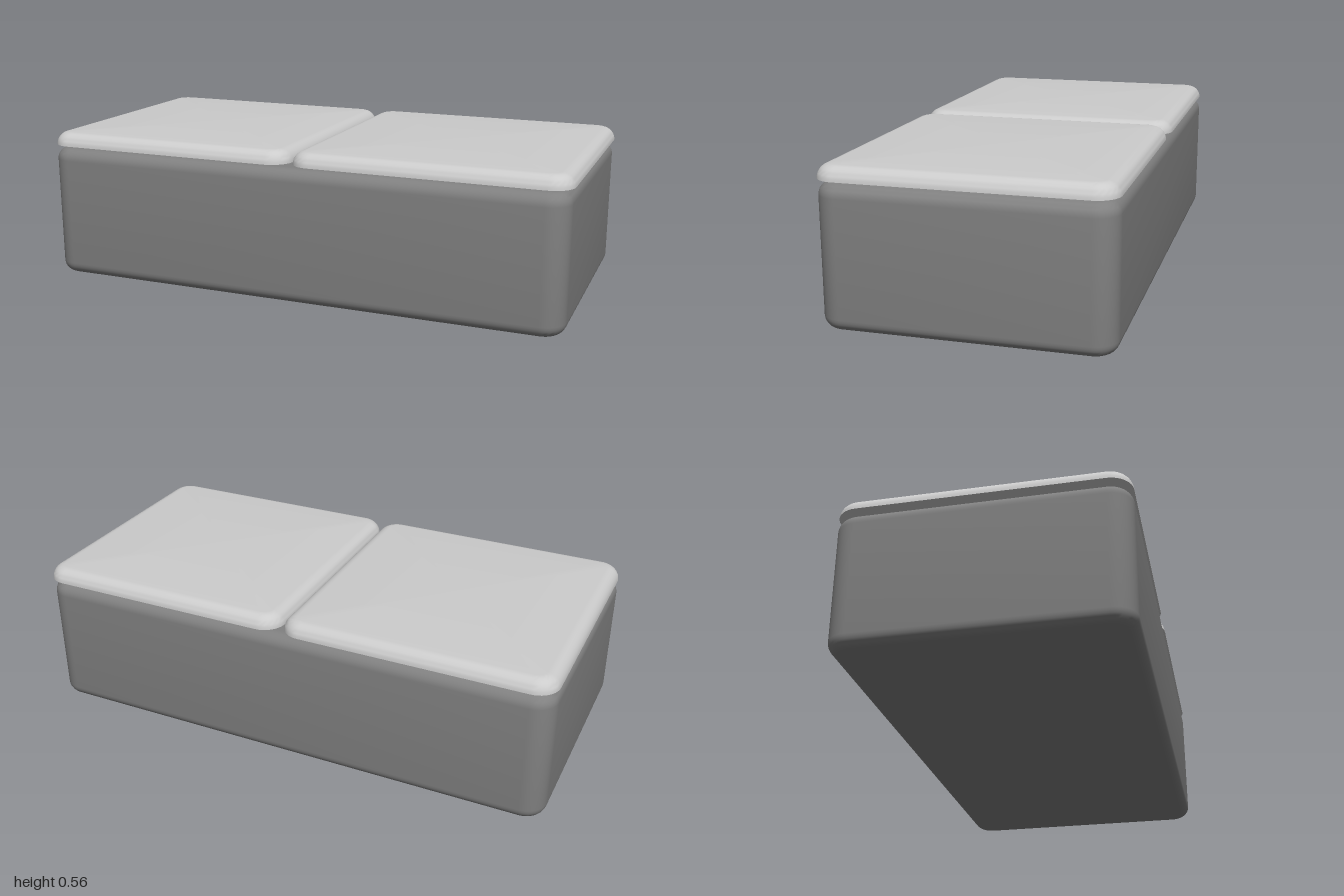
import * as THREE from 'three';
import { toCreasedNormals } from 'three/addons/utils/BufferGeometryUtils.js';

const ARC = 10; // segments per rounded corner

// Outline of a rounded rectangle in the xz plane, as [x, z] pairs
function outline(w, d, r) {
  const points = [];
  for (let corner = 0; corner < 4; corner++) {
    const sx = corner === 0 || corner === 3 ? 1 : -1;
    const sz = corner < 2 ? 1 : -1;
    for (let i = 0; i <= ARC; i++) {
      const a = (corner + i / ARC) * Math.PI / 2;
      points.push([sx * (w / 2 - r) + r * Math.cos(a), sz * (d / 2 - r) + r * Math.sin(a)]);
    }
  }
  return points;
}

// Solid slab lofted through a profile of [inset, y] steps, bottom to top
function slab(w, d, r, profile) {
  const pos = [], index = [];
  const n = 4 * (ARC + 1);
  for (const [inset, y] of profile) {
    for (const [x, z] of outline(w - 2 * inset, d - 2 * inset, r - inset)) pos.push(x, y, z);
  }
  for (let k = 0; k < profile.length - 1; k++) {
    for (let i = 0; i < n; i++) {
      const a = k * n + i, b = k * n + (i + 1) % n;
      index.push(a, a + n, b, b, a + n, b + n);
    }
  }
  // flat bottom and top
  const bottom = pos.length / 3, top = bottom + 1, last = (profile.length - 1) * n;
  pos.push(0, profile[0][1], 0, 0, profile[profile.length - 1][1], 0);
  for (let i = 0; i < n; i++) {
    const j = (i + 1) % n;
    index.push(bottom, i, j, top, last + j, last + i);
  }
  const geometry = new THREE.BufferGeometry();
  geometry.setAttribute('position', new THREE.Float32BufferAttribute(pos, 3));
  geometry.setIndex(index);
  return toCreasedNormals(geometry, 0.6);
}

// Quarter-round edge: 'up' rounds over to the top, otherwise out from the bottom
function roundEdge(radius, y, up) {
  const steps = [];
  for (let i = 0; i <= 8; i++) {
    const a = (i / 8) * Math.PI / 2;
    steps.push(up
      ? [radius * (1 - Math.cos(a)), y - radius * (1 - Math.sin(a))]
      : [radius * (1 - Math.sin(a)), y + radius * (1 - Math.cos(a))]);
  }
  return steps;
}

export function createModel() {
  const group = new THREE.Group();
  group.name = 'boxWithTwoLids';

  // Body: dark block with all edges rounded
  const body = new THREE.Mesh(
    slab(1.994, 1, 0.08, [...roundEdge(0.045, 0, false), ...roundEdge(0.045, 0.5, true)]),
    new THREE.MeshStandardMaterial({ color: 0x808080 })
  );
  body.name = 'body';
  body.position.x = -0.003;
  group.add(body);

  // Two lids: flat underneath, rounded over on top, floating just above the body
  const lidMaterial = new THREE.MeshStandardMaterial({ color: 0xcccccc });
  for (const [name, x0, x1] of [['rightLid', -1, -0.006], ['leftLid', 0, 1]]) {
    const lid = new THREE.Mesh(slab(x1 - x0, 1, 0.08, roundEdge(0.048, 0.56, true)), lidMaterial);
    lid.name = name;
    lid.position.x = (x0 + x1) / 2;
    group.add(lid);
  }
  return group;
}
